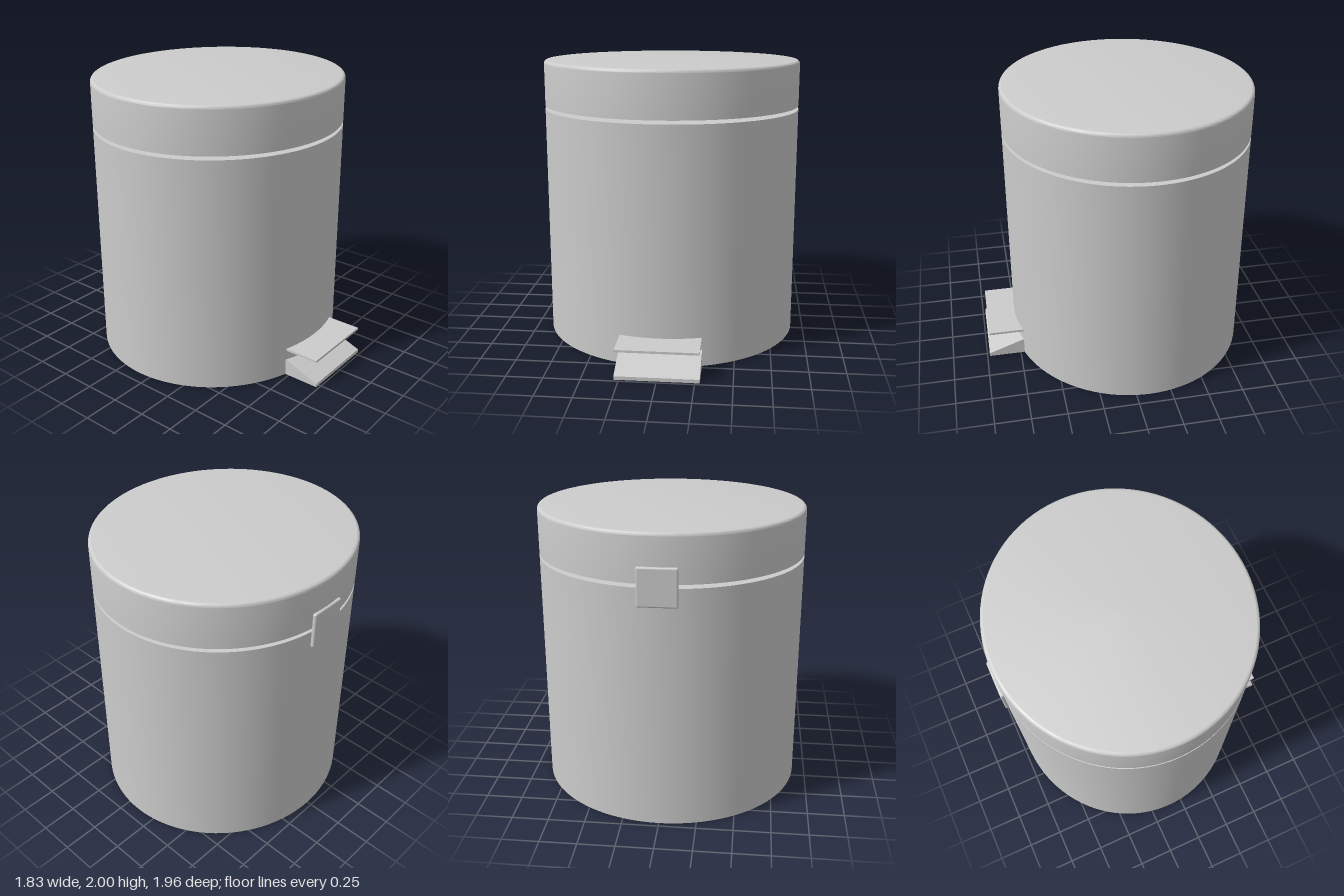
import * as THREE from 'three';
import { toCreasedNormals } from 'three/addons/utils/BufferGeometryUtils.js';
import { RoundedBoxGeometry } from 'three/addons/geometries/RoundedBoxGeometry.js';

const RX = 0.915, RZ = 0.865, CZ = -0.1; // oval footprint of the bin

export function createModel() {
  const group = new THREE.Group();
  const material = new THREE.MeshStandardMaterial({ color: 0xcccccc });

  const add = (name, geometry, x = 0, y = 0, z = 0) => {
    const mesh = new THREE.Mesh(geometry, material);
    mesh.name = name;
    mesh.position.set(x, y, z);
    group.add(mesh);
  };

  // Closed oval solid turned from a [radius, y] profile
  const oval = (profile) => {
    const points = profile.map(([r, y]) => new THREE.Vector2(r, y));
    const geometry = new THREE.LatheGeometry(points, 96);
    geometry.scale(1, 1, RZ / RX);
    return toCreasedNormals(geometry, 0.6);
  };

  // Body: straight-sided oval drum
  add('body', oval([[0, 0], [RX, 0], [RX, 1.655], [0, 1.655]]), 0, 0, CZ);

  // Lid: same oval with a small rounded top edge
  const fillet = 0.025, lid = [[0, 1.68], [RX, 1.68]];
  for (let i = 0; i <= 6; i++) {
    const a = (i / 6) * Math.PI / 2;
    lid.push([RX - fillet + fillet * Math.cos(a), 2 - fillet + fillet * Math.sin(a)]);
  }
  lid.push([0, 2]);
  add('lid', oval(lid), 0, 0, CZ);

  // Hinge plate bridging the gap at the back
  add('hinge', new RoundedBoxGeometry(0.26, 0.255, 0.03, 3, 0.012), 0, 1.6625, -0.965);

  // Foot pedal
  add('pedal', new THREE.BoxGeometry(0.56, 0.016, 0.25), 0, 0.198, 0.847);

  // Wedge-shaped foot below the pedal: side profile in (z, y), extruded across x
  const side = new THREE.Shape([[0.722, 0], [0.982, 0], [0.982, 0.025], [0.722, 0.12]]
    .map(([z, y]) => new THREE.Vector2(z, y)));
  const wedge = new THREE.ExtrudeGeometry(side, { depth: 0.566, bevelEnabled: false });
  wedge.translate(0, 0, -0.283);
  wedge.rotateY(-Math.PI / 2);
  add('pedalBase', wedge);

  return group;
}
